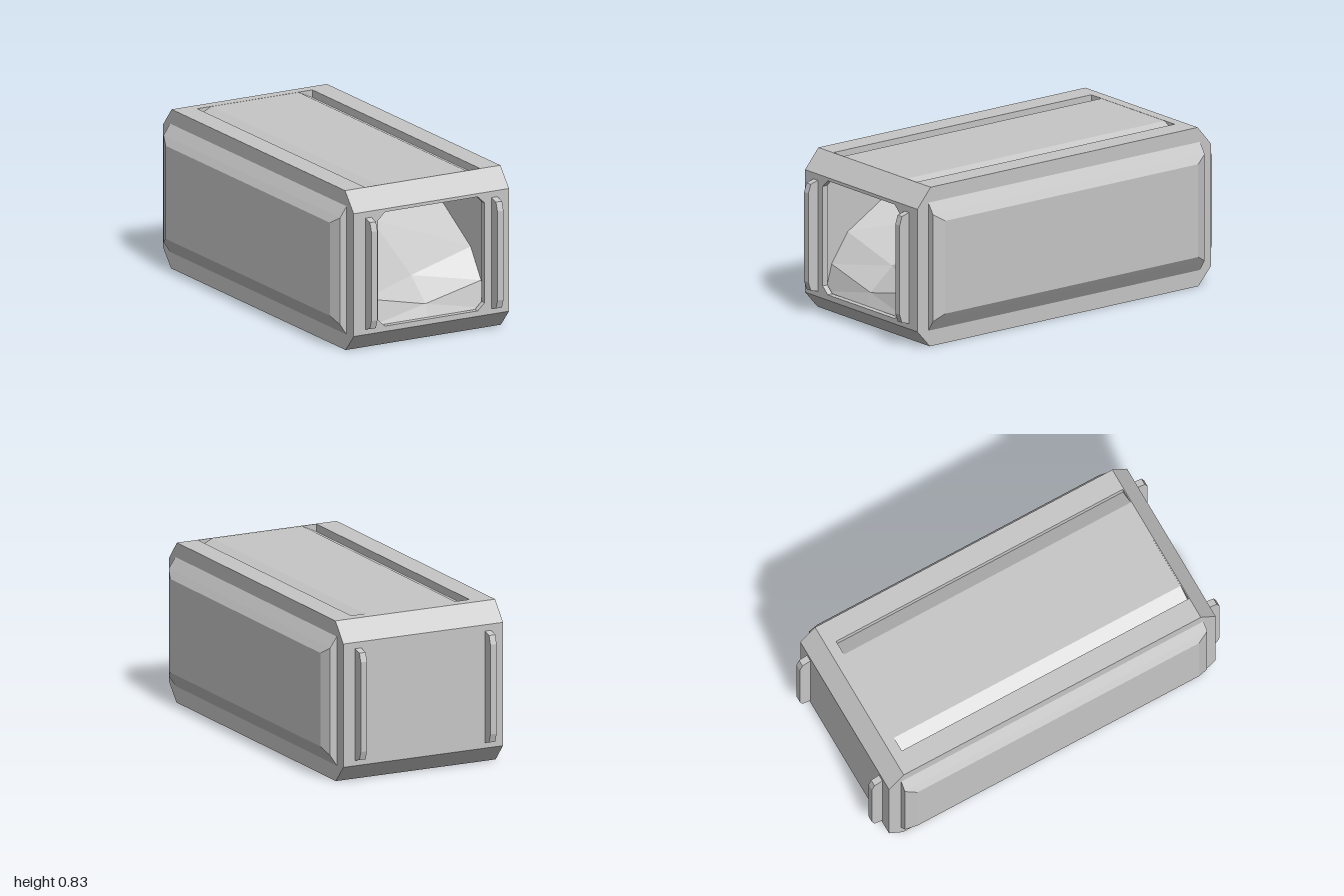
import * as THREE from 'three';
import { ConvexGeometry } from 'three/addons/geometries/ConvexGeometry.js';

const grey = new THREE.MeshStandardMaterial({ color: 0xc6c6c6, flatShading: true });
grey.name = 'plain grey';

const shapeOf = (pts) => new THREE.Shape(pts.map((p) => new THREE.Vector2(p[0], p[1])));

// Extrudes a (z, y) profile across x, centred on the given x.
function acrossX(pts, width, x) {
  const geo = new THREE.ExtrudeGeometry(shapeOf(pts), { depth: width, bevelEnabled: false });
  geo.translate(0, 0, -width / 2);
  geo.rotateY(-Math.PI / 2);
  geo.translate(x, 0, 0);
  return geo;
}

// Extrudes an (x, y) shape along z between two depths.
function alongZ(shape, z0, z1) {
  const geo = new THREE.ExtrudeGeometry(shape, { depth: z1 - z0, bevelEnabled: false });
  geo.translate(0, 0, z0);
  return geo;
}

export function createModel() {
  const group = new THREE.Group();
  const add = (name, geo) => {
    const mesh = new THREE.Mesh(geo, grey);
    mesh.name = name;
    group.add(mesh);
  };

  // Chamfered body: a solid cheek on each side
  const cheek = [
    [-0.86, 0], [0.86, 0], [0.94, 0.09], [0.94, 0.73],
    [0.855, 0.83], [-0.855, 0.83], [-0.94, 0.73], [-0.94, 0.09],
  ];
  // Middle of the body, with the lid recess on top and a cavity open to the front
  const core = [
    [-0.86, 0], [0.86, 0], [0.94, 0.09], [0.94, 0.115], [-0.1, 0.115],
    [-0.1, 0.715], [0.94, 0.715], [0.94, 0.73], [0.855, 0.83], [0.85, 0.83],
    [0.85, 0.79], [-0.8, 0.79], [-0.8, 0.83], [-0.855, 0.83], [-0.94, 0.73], [-0.94, 0.09],
  ];
  add('bodyCore', acrossX(core, 0.67, 0));

  // Front frame around an opening with cut corners
  const frame = shapeOf([[-0.335, 0.115], [0.335, 0.115], [0.335, 0.715], [-0.335, 0.715]]);
  frame.holes.push(new THREE.Path([
    [-0.27, 0.118], [-0.31, 0.155], [-0.31, 0.675], [-0.27, 0.713],
    [0.27, 0.713], [0.31, 0.675], [0.31, 0.155], [0.27, 0.118],
  ].map((p) => new THREE.Vector2(p[0], p[1]))));
  add('frontFrame', alongZ(frame, 0.91, 0.94));

  // Lid panel with sloping long edges
  const lid = shapeOf([[-0.335, 0.79], [0.335, 0.79], [0.255, 0.829], [-0.255, 0.829]]);
  add('lidPanel', alongZ(lid, -0.8, 0.85));

  // Cheeks, bulging side panels and end handles
  const handle = [
    [0.93, 0.115], [0.985, 0.13], [1, 0.175], [1, 0.64], [0.985, 0.685], [0.93, 0.7],
  ];
  for (const s of [-1, 1]) {
    const side = s > 0 ? 'left' : 'right';
    add(side + 'Cheek', acrossX(cheek, 0.117, s * 0.3935));

    const points = [];
    for (const e of [-1, 1]) {
      for (const [x, y, z] of [
        [0.45, 0.08, 0.87], [0.45, 0.755, 0.87], [0.49, 0.14, 0.87],
        [0.49, 0.697, 0.87], [0.513, 0.175, 0.81], [0.513, 0.66, 0.81],
      ]) points.push(new THREE.Vector3(s * x, y, e * z));
    }
    add(side + 'SidePanel', new ConvexGeometry(points));

    add(side + 'FrontHandle', acrossX(handle, 0.035, s * 0.367));
    const back = acrossX(handle, 0.035, -s * 0.367);
    back.rotateY(Math.PI);
    add(side + 'BackHandle', back);
  }

  // Faceted heap in the cavity, with a valley down the middle: [side y, side z, middle y, middle z]
  const rows = [
    [0.115, 0.9, 0.115, 0.91],
    [0.25, 0.863, 0.18, 0.88],
    [0.4, 0.76, 0.295, 0.74],
    [0.69, 0.27, 0.49, 0.34],
    [0.72, 0.2, 0.72, 0.22],
  ];
  const positions = [];
  const index = [];
  rows.forEach(([ys, zs, ym, zm], i) => {
    positions.push(-0.335, ys, zs, 0, ym, zm, 0.335, ys, zs);
    if (i === 0) return;
    const a = (i - 1) * 3;
    const b = i * 3;
    index.push(a, a + 1, b + 1, a, b + 1, b);
    index.push(a + 1, a + 2, b + 1, a + 2, b + 2, b + 1);
  });
  const heap = new THREE.BufferGeometry();
  heap.setAttribute('position', new THREE.Float32BufferAttribute(positions, 3));
  heap.setIndex(index);
  const facets = heap.toNonIndexed();
  facets.computeVertexNormals();
  add('contentsHeap', facets);

  return group;
}
